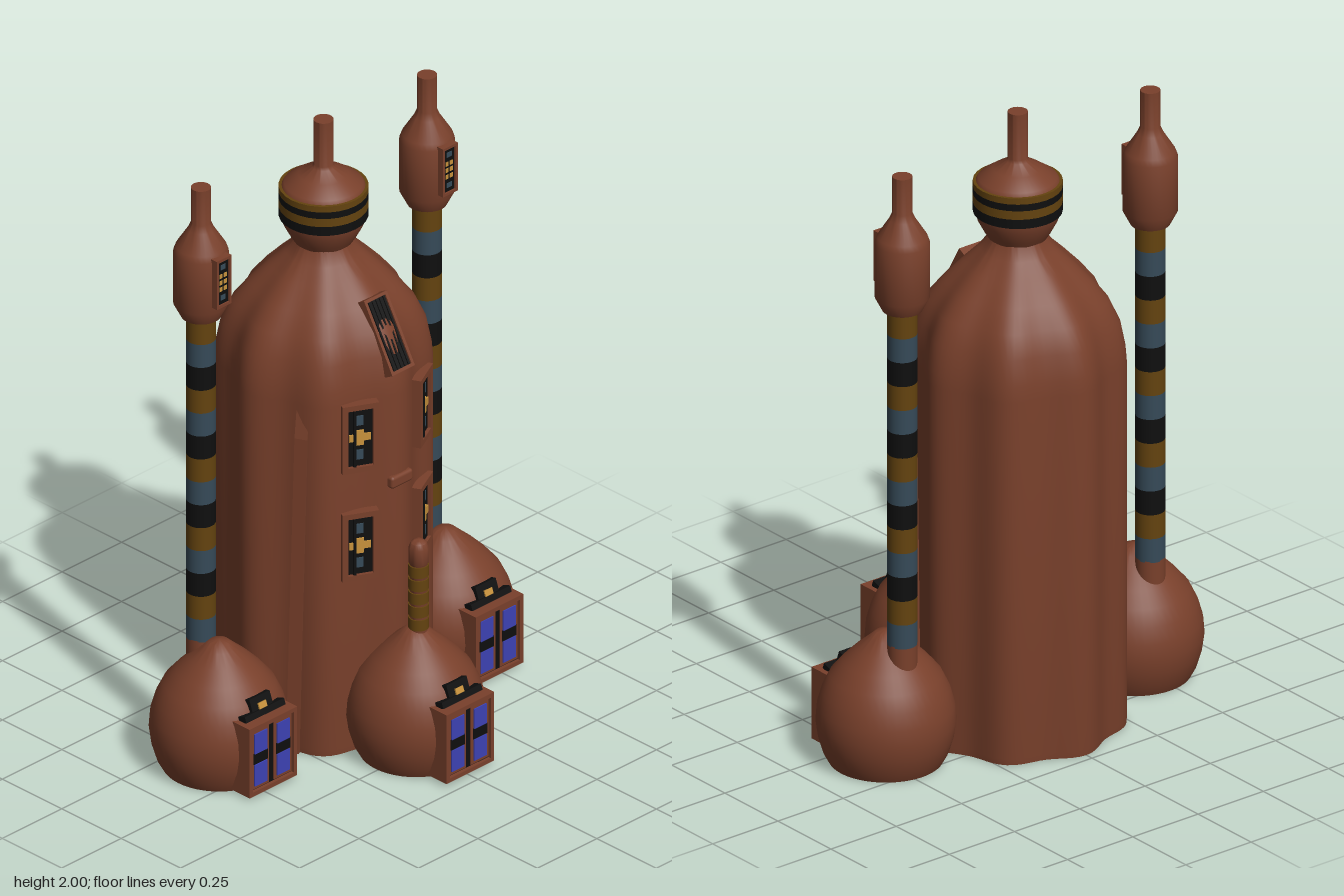
import * as THREE from 'three';
import { toCreasedNormals } from 'three/addons/utils/BufferGeometryUtils.js';
import { RoundedBoxGeometry } from 'three/addons/geometries/RoundedBoxGeometry.js';

const material = (name, color) => {
  const m = new THREE.MeshStandardMaterial({ color });
  m.name = name;
  return m;
};

export function createModel() {
  const brown = material('terracotta', 0x79402b);
  const olive = material('ochre', 0x64430f);
  const slate = material('slate', 0x364a58);
  const black = material('black', 0x0f0f0f);
  const blue = material('blueGlass', 0x3d42b4);
  const gold = material('lampGold', 0xc8923c);

  const model = new THREE.Group();
  model.name = 'towerHouse';

  const add = (parent, name, geo, mat, x = 0, y = 0, z = 0) => {
    const mesh = new THREE.Mesh(geo, mat);
    mesh.name = name;
    mesh.position.set(x, y, z);
    parent.add(mesh);
    return mesh;
  };
  const group = (parent, name, x = 0, y = 0, z = 0) => {
    const g = new THREE.Group();
    g.name = name;
    g.position.set(x, y, z);
    parent.add(g);
    return g;
  };
  const box = (parent, name, mat, w, h, d, x, y, z) =>
    add(parent, name, new THREE.BoxGeometry(w, h, d), mat, x, y, z);
  const lathe = (pts, segs = 40) => new THREE.LatheGeometry(pts.map(p => new THREE.Vector2(...p)), segs);
  const turned = (pts, segs, crease = 0.65) => toCreasedNormals(lathe(pts, segs), crease);
  const rod = (r, y0, y1) => new THREE.CylinderGeometry(r, r, y1 - y0, 28).translate(0, (y0 + y1) / 2, 0);

  // Brown frame of four bars around an opening, its front at z = d
  const frame = (parent, w, h, t, d) => {
    for (const s of [-1, 1]) {
      box(parent, 'frameSide', brown, t, h, d, s * (w - t) / 2, 0, d / 2);
      box(parent, 'frameEnd', brown, w - 2 * t, t, d, 0, s * (h - t) / 2, d / 2);
    }
  };

  // Main tower: fluted body with eight soft lobes
  const tower = group(model, 'mainTower', 0, 0, -0.15);
  const bodyGeo = lathe([[0, 0], [0.31, 0], [0.312, 0.02], [0.312, 0.6], [0.312, 1.19], [0.308, 1.24], [0.293, 1.32],
    [0.262, 1.39], [0.215, 1.45], [0.16, 1.51], [0.115, 1.555], [0.09, 1.59], [0.08, 1.63]], 96);
  const p = bodyGeo.attributes.position;
  for (let i = 0; i < p.count; i++) {
    const x = p.getX(i), z = p.getZ(i);
    const k = 1 + 0.045 * Math.cos(8 * Math.atan2(x, z)) * Math.min(1, Math.hypot(x, z) / 0.3);
    p.setXYZ(i, x * k, p.getY(i), z * k);
  }
  add(tower, 'flutedBody', toCreasedNormals(bodyGeo, 0.7), brown);

  // Lantern head with painted bands and chimney
  add(tower, 'lanternHead', turned([[0.075, 1.57], [0.1, 1.61], [0.121, 1.65], [0.128, 1.68], [0.13, 1.72],
    [0.128, 1.77], [0.118, 1.785], [0.075, 1.815], [0.035, 1.84], [0.03, 1.85], [0.03, 2], [0, 2]]), brown);
  [[olive, 1.755, 1.775], [black, 1.733, 1.755], [olive, 1.705, 1.733], [black, 1.675, 1.705]].forEach(([m, a, b]) =>
    add(tower, 'lanternBand', rod(0.134, a, b), m));

  // Buttress fins in the grooves beside the front
  const finShape = new THREE.Shape([[0.2, 0], [0.318, 0], [0.318, 1.08], [0.3, 1.2], [0.268, 1.36], [0.15, 1.36]]
    .map(q => new THREE.Vector2(...q)));
  for (const s of [-1, 1]) {
    const pivot = group(tower, 'buttress');
    pivot.rotation.y = -Math.PI / 2 + s * THREE.MathUtils.degToRad(62);
    const fin = add(pivot, 'buttressFin', new THREE.ExtrudeGeometry(finShape, { depth: 0.04, bevelEnabled: false })
      .translate(0, 0, -0.02), brown);
    fin.rotation.x = s * 0.025;
  }

  // Four tall tower windows
  for (const s of [-1, 1]) for (const y of [0.71, 1.08]) {
    const w = group(model, 'towerWindow', s * 0.128, y, 0.125);
    w.rotation.y = s * 0.47;
    box(w, 'windowBacking', brown, 0.115, 0.23, 0.05, 0, 0, -0.02);
    frame(w, 0.115, 0.23, 0.018, 0.024);
    box(w, 'windowDark', black, 0.08, 0.195, 0.008, 0, 0, 0.009);
    box(w, 'lampBar', gold, 0.068, 0.024, 0.006, 0, 0, 0.014);
    box(w, 'lampPost', gold, 0.024, 0.05, 0.006, 0, 0, 0.016);
    box(w, 'mullion', black, 0.009, 0.195, 0.006, -0.017, 0, 0.019);
    for (const e of [-1, 1]) box(w, 'slatePane', slate, 0.022, 0.032, 0.006, 0, e * 0.058, 0.014);
  }

  // Small plaque on the front lobe
  add(model, 'plaque', new RoundedBoxGeometry(0.09, 0.04, 0.04, 2, 0.01), brown, 0, 0.9, 0.165);

  // Sloping louvred skylight
  const sky = group(model, 'skylight', 0, 1.365, 0.105);
  sky.rotation.x = -0.52;
  box(sky, 'skylightBody', brown, 0.095, 0.24, 0.05, 0, 0, -0.012);
  frame(sky, 0.095, 0.24, 0.01, 0.026);
  box(sky, 'skylightDark', black, 0.078, 0.22, 0.008, 0, 0, 0.017);
  for (let i = -2; i <= 2; i++) box(sky, 'louvre', black, 0.006, 0.22, 0.006, i * 0.015, 0, 0.022);

  // Domed porch with door block and fanlight
  const domePts = [[0, 0], [0.172, 0], [0.188, 0.03], [0.203, 0.08], [0.21, 0.13], [0.206, 0.18], [0.192, 0.23],
    [0.168, 0.28], [0.13, 0.325], [0.09, 0.365], [0.05, 0.4], [0.03, 0.418], [0, 0.425]];
  const porch = (name, x, z) => {
    const g = group(model, name, x, 0, z);
    add(g, 'dome', turned(domePts, 48), brown);
    box(g, 'doorBlock', brown, 0.2, 0.235, 0.11, 0, 0.128, 0.155);
    const door = group(g, 'door', 0, 0.128, 0.205);
    frame(door, 0.2, 0.235, 0.014, 0.023);
    box(door, 'doorDark', black, 0.172, 0.207, 0.008, 0, 0, 0.008);
    for (const s of [-1, 1]) {
      box(door, 'doorLeaf', brown, 0.074, 0.2, 0.006, s * 0.047, 0, 0.012);
      box(door, 'crossRail', black, 0.058, 0.036, 0.006, s * 0.047, 0.003, 0.015);
      box(door, 'upperPane', blue, 0.052, 0.068, 0.006, s * 0.047, 0.054, 0.016);
      box(door, 'lowerPane', blue, 0.052, 0.072, 0.006, s * 0.047, -0.053, 0.016);
    }
    const fan = group(g, 'fanlight', 0, 0.268, 0.165);
    fan.rotation.x = -0.35;
    box(fan, 'fanlightBox', black, 0.085, 0.06, 0.03, 0, 0, 0);
    box(fan, 'fanlightSill', black, 0.165, 0.02, 0.03, 0, -0.02, 0.008);
    box(fan, 'fanlightLamp', gold, 0.032, 0.022, 0.006, 0, -0.002, 0.017);
    return g;
  };

  // Front porch with ringed post
  const front = porch('frontPorch', 0, 0.24);
  add(front, 'post', turned([[0.027, 0.38], [0.027, 0.64], [0.03, 0.645], [0.03, 0.695], [0.024, 0.712], [0.012, 0.72],
    [0, 0.722]], 24), brown, 0, 0, 0.01);
  for (let i = 0; i < 5; i++) add(front, 'postRing', rod(0.031, 0.422 + i * 0.045, 0.458 + i * 0.045), olive, 0, 0, 0.01);

  // Side porches, each with a striped mast and a watch pod
  const stripe = [olive, slate, black];
  for (const s of [-1, 1]) {
    const side = porch(s > 0 ? 'leftPorch' : 'rightPorch', s * 0.475, -0.113);
    const mast = group(side, 'mast', 0, 0, -0.077);
    add(mast, 'mastFoot', rod(0.045, 0.25, 0.41), brown);
    for (let i = 0; i < 14; i++) {
      const top = 1.505 - i * 0.0785;
      add(mast, 'mastBand', rod(0.045, top - 0.0785, top), stripe[i % 3]);
    }
    add(mast, 'watchPod', turned([[0, 1.505], [0.06, 1.505], [0.083, 1.55], [0.083, 1.725], [0.076, 1.745],
      [0.04, 1.802], [0.03, 1.825], [0.03, 1.943], [0, 1.943]], 32), brown);
    const w = group(mast, 'podWindow', 0, 1.655, 0.08);
    box(w, 'podWindowBacking', brown, 0.062, 0.165, 0.03, 0, 0, -0.01);
    frame(w, 0.062, 0.165, 0.009, 0.018);
    box(w, 'podWindowDark', black, 0.046, 0.148, 0.008, 0, 0, 0.008);
    for (const y of [-0.022, 0, 0.022]) for (const x of [-0.009, 0.009])
      box(w, 'podLamp', gold, 0.012, 0.014, 0.006, x, y, 0.011);
    for (const e of [-1, 1]) box(w, 'podSlatePane', slate, 0.02, 0.016, 0.006, 0, e * 0.052, 0.011);
  }

  return model;
}
